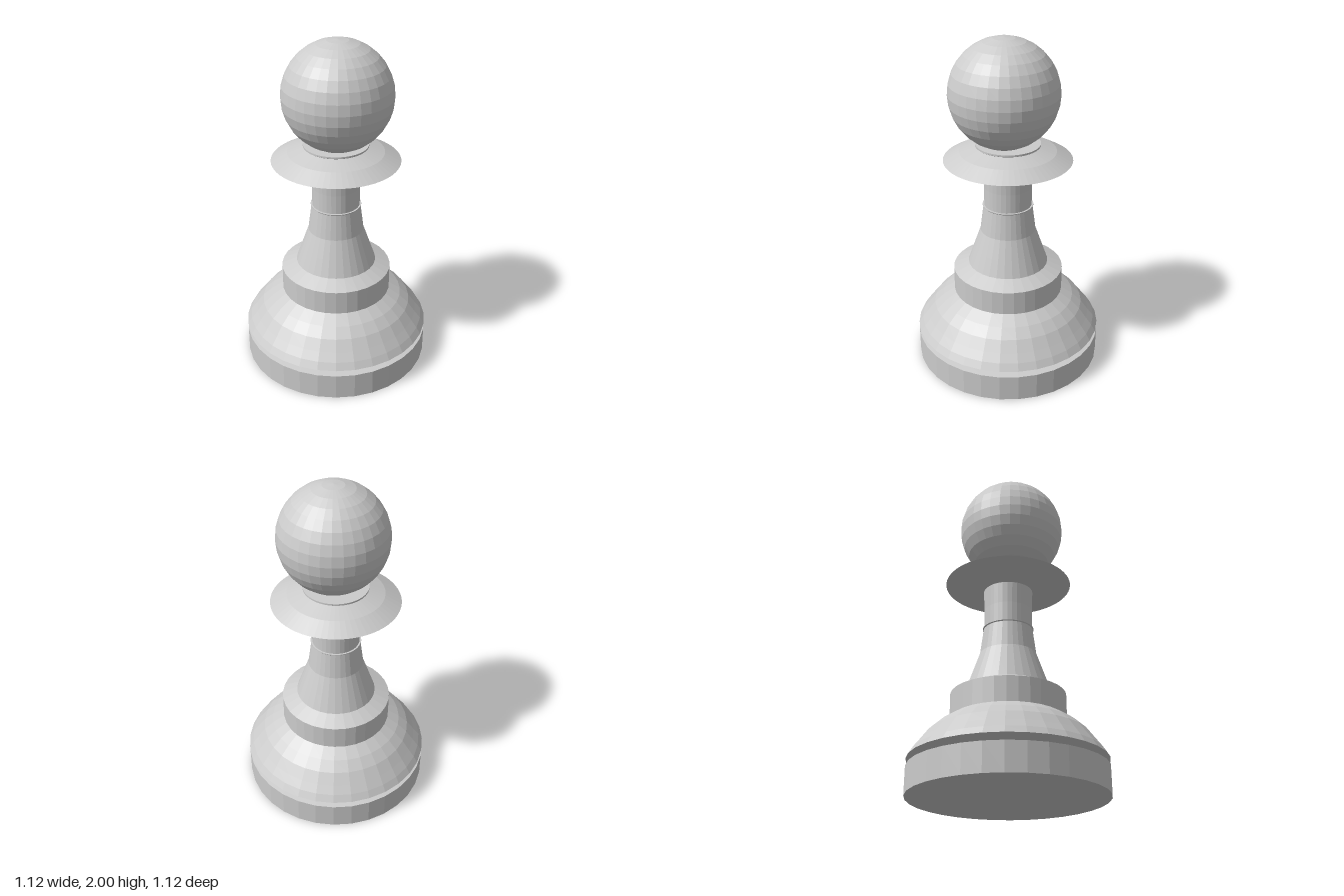
import * as THREE from 'three';

const material = new THREE.MeshStandardMaterial({ color: 0xcccccc, flatShading: true });

// Turned part from [radius, height] pairs, listed from bottom to top
function turned(name, profile, sides = 32) {
  const points = profile.map(([r, y]) => new THREE.Vector2(r, y));
  const mesh = new THREE.Mesh(new THREE.LatheGeometry(points, sides), material);
  mesh.name = name;
  return mesh;
}

export function createModel() {
  const pawn = new THREE.Group();
  pawn.name = 'pawn';

  pawn.add(
    // Bottom slab with a groove above it
    turned('baseSlab', [[0, 0], [0.56, 0], [0.56, 0.16], [0.49, 0.17]]),
    // Dome rising from the groove
    turned('baseDome', [[0.49, 0.17], [0.56, 0.2], [0.535, 0.24], [0.5, 0.285], [0.455, 0.345], [0.4, 0.395], [0.33, 0.44]]),
    // Straight band with a chamfered top
    turned('baseBand', [[0.33, 0.44], [0.33, 0.585], [0.24, 0.625]]),
    // Tapering lower stem, ending in a thin lip
    turned('lowerStem', [[0.24, 0.625], [0.205, 0.725], [0.165, 0.84], [0.145, 0.995], [0.15, 1.0], [0.15, 1.004], [0.139, 1.004]]),
    turned('upperStem', [[0.14, 1.0], [0.141, 1.12], [0.146, 1.25]]),
    // Wide sharp-edged collar with a small raised seat for the head
    turned('collar', [[0.14, 1.246], [0.374, 1.29], [0.28, 1.342], [0.185, 1.375]], 64),
    turned('headSeat', [[0.185, 1.375], [0.189, 1.378], [0.189, 1.388], [0, 1.388]], 64)
  );

  // Ball head, set slightly forward
  const head = new THREE.Mesh(new THREE.SphereGeometry(0.316, 32, 16), material);
  head.name = 'head';
  head.position.set(0, 1.684, 0.024);
  pawn.add(head);

  return pawn;
}
